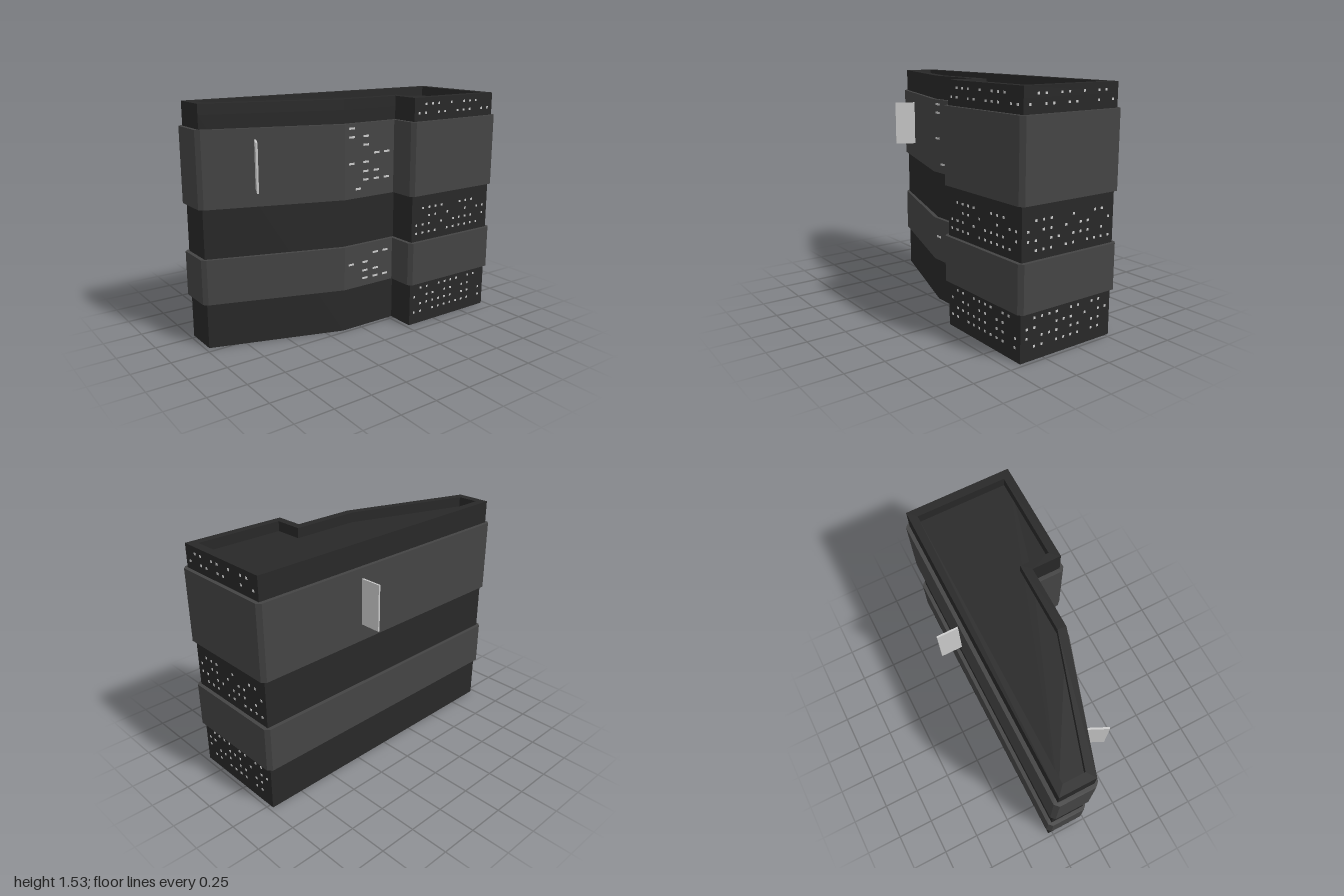
import * as THREE from 'three';
import { mergeGeometries } from 'three/addons/utils/BufferGeometryUtils.js';

const paint = (color) => new THREE.MeshStandardMaterial({ color });

// Plan outlines as [x, z]
const CORE = [[-0.28, 0.975], [-0.05, 0.975], [0.225, 0.135], [0.225, -0.28], [0.415, -0.28], [0.415, -0.975], [-0.28, -0.975]];
const ROOF = [[-0.228, 0.918], [-0.09, 0.918], [0.17, 0.127], [0.17, -0.333], [0.36, -0.333], [0.36, -0.92], [-0.228, -0.92]];
const BAND = [
  [-0.305, 0.975], [-0.28, 1], [-0.053, 1], [-0.028, 0.975], [0.25, 0.14], [0.25, -0.253], [0.415, -0.253],
  [0.44, -0.278], [0.44, -0.975], [0.415, -1], [-0.28, -1], [-0.305, -0.975],
];

const toPoints = (plan) => plan.map(([x, z]) => new THREE.Vector2(x, -z));

// Plan outline raised from y0 to y1, with an optional opening
function prism(plan, y0, y1, hole) {
  const shape = new THREE.Shape(toPoints(plan));
  if (hole) shape.holes.push(new THREE.Path(toPoints(hole)));
  const geo = new THREE.ExtrudeGeometry(shape, { depth: y1 - y0, bevelEnabled: false });
  return geo.rotateX(-Math.PI / 2).translate(0, y0, 0);
}

const box = (w, h, d, x, y, z) => new THREE.BoxGeometry(w, h, d).translate(x, y, z);

// Lit window rows: [height, pattern], '#' is a lit window
const SIDE_ROWS = [
  [1.488, '.###.#.###..'], [1.432, '##.##.###.##'],
  [0.808, '.####..###..'], [0.752, '..##.#..#.##'], [0.696, '###.#.####.#'], [0.64, '####.######.'],
  [0.252, '.##.####.##.'], [0.194, '#.##.##.##..'], [0.139, '.######.##.#'], [0.083, '##.#######.#'],
];
const BACK_ROWS = [
  [1.488, '.##.##.#.##.'], [1.432, '#.##.##..#.#'],
  [0.808, '.###..#..##.'], [0.752, '#.##.#.##..#'], [0.696, '##.##.###.#.'], [0.64, '.###.##.####'],
  [0.252, '.####.##.##.'], [0.194, '##..###.#.##'], [0.139, '#.###.##.##.'], [0.083, '.##.####.##.'],
];

// Long windows on the bands: [z, heights]
const STRIPS = [
  [0.088, [1.35, 1.295, 1.127, 0.46]],
  [0.035, [0.96]],
  [-0.024, [1.295, 1.24, 1.13, 1.07, 1.015, 0.46, 0.402, 0.348]],
  [-0.11, [1.183, 1.07, 1.015, 0.514, 0.402, 0.348]],
  [-0.192, [1.183, 1.015, 0.514, 0.348]],
];

export function createModel() {
  const group = new THREE.Group();
  const dark = paint(0x282828), mid = paint(0x444444), light = paint(0xcccccc);
  const add = (name, geo, mat) => {
    const mesh = new THREE.Mesh(geo, mat);
    mesh.name = name;
    group.add(mesh);
    return mesh;
  };

  // Tower with a sunken roof behind a parapet
  add('tower', prism(CORE, 0, 1.465), dark);
  add('parapet', prism(CORE, 1.465, 1.53, ROOF), dark);

  // Projecting bands with chamfered corners
  add('lowerBand', prism(BAND, 0.295, 0.585), mid);
  add('upperBand', prism(BAND, 0.9, 1.38), mid);

  // Small windows on the wing's side and back
  const S = 0.014, T = 0.006, STEP = 0.0555;
  const side = [], back = [];
  for (const [y, row] of SIDE_ROWS)
    [...row].forEach((c, i) => c === '#' && side.push(box(T, S, S, 0.415, y, -0.3185 - i * STEP)));
  for (const [y, row] of BACK_ROWS)
    [...row].forEach((c, i) => c === '#' && back.push(box(S, S, T, 0.372 - i * STEP, y, -0.975)));
  add('sideWindows', mergeGeometries(side), light);
  add('backWindows', mergeGeometries(back), light);

  // Long windows in the bands
  const strips = STRIPS.flatMap(([z, ys]) => ys.map((y) => box(T, 0.013, 0.043, 0.25, y, z)));
  add('bandWindows', mergeGeometries(strips), light);

  // Blank sign boards standing off the walls
  add('leftWallSign', box(0.145, 0.3, 0.012, -0.3725, 1.162, -0.24), light);
  const sign = add('slantedWallSign', box(0.14, 0.3, 0.012, 0, 0, 0), light);
  sign.position.set(0.135, 1.162, 0.7);
  sign.rotation.y = -0.44;

  return group;
}
